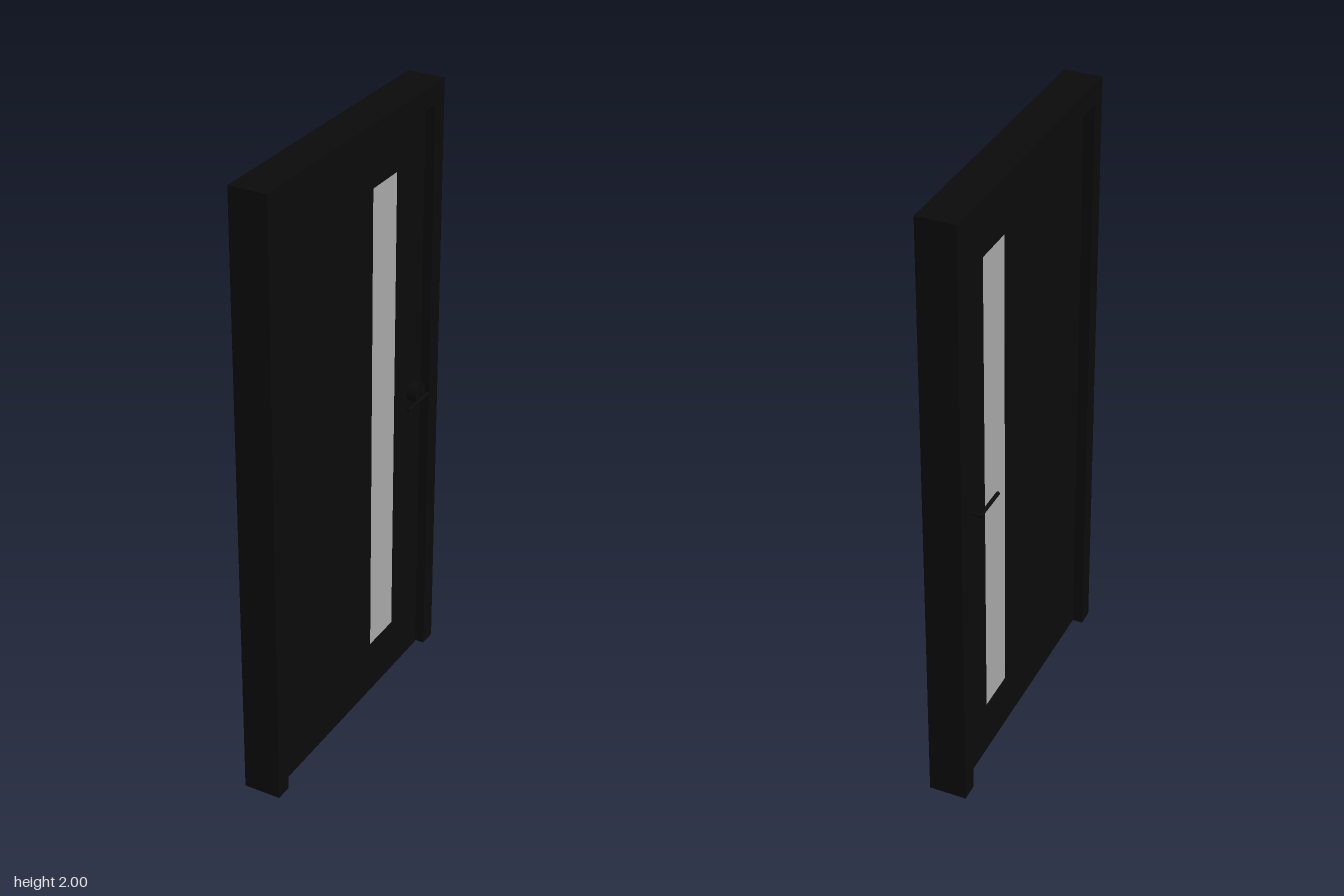
import * as THREE from 'three';

const black = new THREE.MeshStandardMaterial({ color: 0x0b0b0b });
const grey = new THREE.MeshStandardMaterial({ color: 0xaaaaaa });

function add(parent, name, geometry, material = black) {
  const mesh = new THREE.Mesh(geometry, material);
  mesh.name = name;
  parent.add(mesh);
  return mesh;
}

// Outline drawn as [z, y] points, extruded along x from x0 to x1
function slab(outline, x0, x1, hole) {
  const toPoints = (list) => list.map(([z, y]) => new THREE.Vector2(-z, y));
  const shape = new THREE.Shape(toPoints(outline));
  if (hole) shape.holes.push(new THREE.Path(toPoints(hole)));
  const geometry = new THREE.ExtrudeGeometry(shape, { depth: x1 - x0, bevelEnabled: false });
  return geometry.rotateY(Math.PI / 2).translate(x0, 0, 0);
}

const rect = (z0, z1, y0, y1) => [[z0, y0], [z1, y0], [z1, y1], [z0, y1]];

// Lever handle on one face of the leaf; side is +1 or -1 along x
function createHandle(side, leafX, reachX) {
  const handle = new THREE.Group();
  handle.name = side > 0 ? 'leftHandle' : 'rightHandle';
  const z = -0.377, r = 0.006;
  const rodX = (radius, x0, x1, segments) =>
    new THREE.CylinderGeometry(radius, radius, Math.abs(x1 - x0), segments)
      .rotateZ(Math.PI / 2).translate((x0 + x1) / 2, 1, z);
  add(handle, 'rose', rodX(0.032, leafX, side * 0.051, 32));
  add(handle, 'spindle', rodX(r, leafX, reachX, 16));
  add(handle, 'lever', new THREE.CylinderGeometry(r, r, 0.127, 16)
    .rotateX(Math.PI / 2).translate(reachX, 1, z + 0.0585));
  return handle;
}

export function createModel() {
  const door = new THREE.Group();
  door.name = 'door';

  // Frame: two jambs and a header, open at the floor
  add(door, 'frame', slab([
    [0.5, 0], [0.5, 2], [-0.5, 2], [-0.5, 0],
    [-0.442, 0], [-0.442, 1.934], [0.444, 1.934], [0.444, 0],
  ], -0.074, 0.048));

  // Leaf with a tall window opening, set back from both frame faces
  const back = -0.04, front = 0.02;
  const opening = rect(-0.12, -0.267, 0.18, 1.78);
  add(door, 'leaf', slab(rect(0.444, -0.437, 0, 1.93), back, front, opening));
  add(door, 'glassPane', slab(opening, back + 0.002, front - 0.002), grey);

  // Handles on both faces
  door.add(createHandle(1, front, 0.073));
  door.add(createHandle(-1, back, -0.077));

  return door;
}
